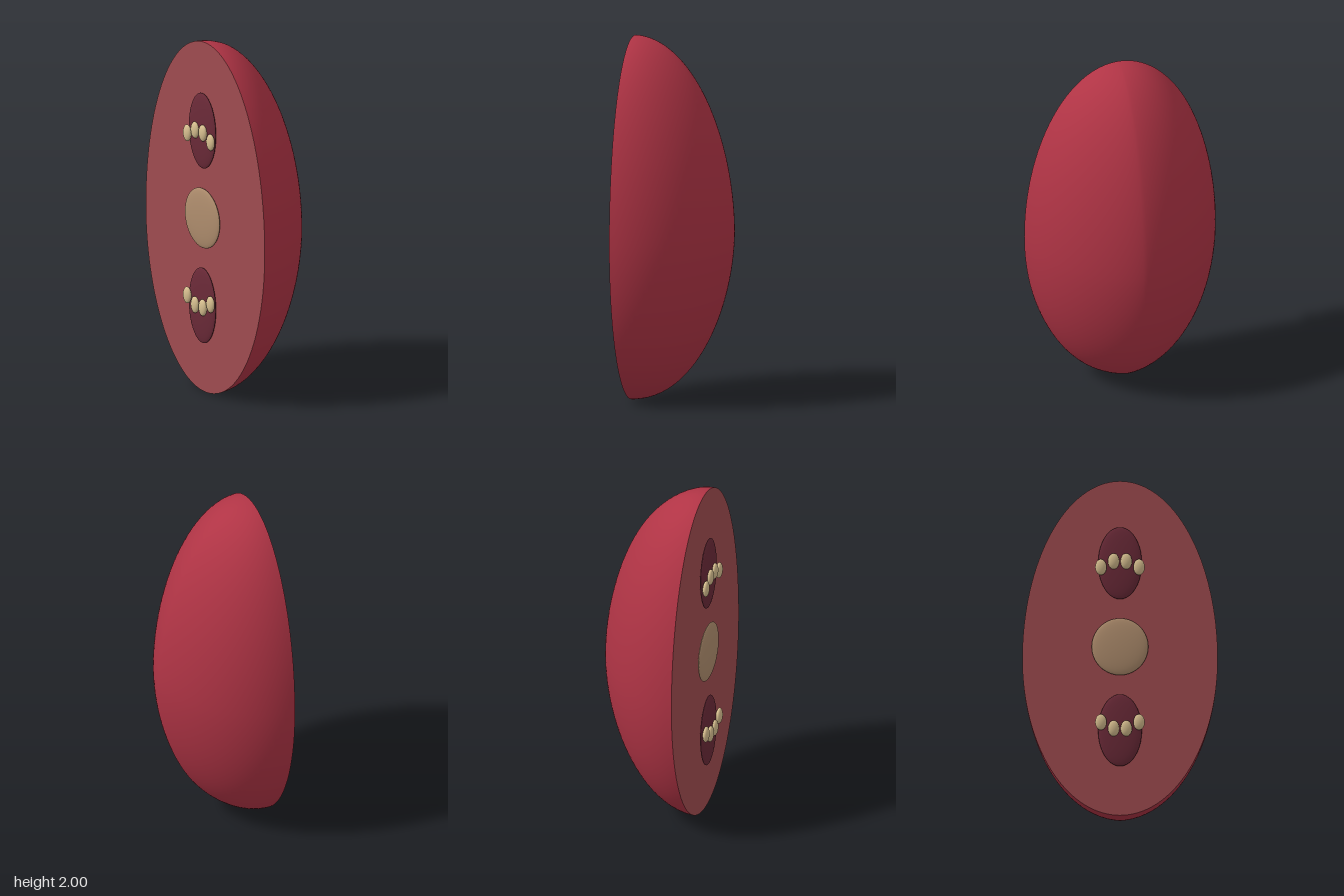
import * as THREE from 'three';

const CUT_X = -0.25, DEPTH = 0.56, HALF_WIDTH = 0.53, WIDEST_Y = 0.935;

function makeMaterial(name, color) {
  const m = new THREE.MeshStandardMaterial({ color });
  m.name = name;
  return m;
}

// Egg height: the widest row sits a little below the middle
const eggY = (v) => WIDEST_Y + v * (v > 0 ? 2 - WIDEST_Y : WIDEST_Y);

// Half egg: hemisphere whose sections narrow towards a rounded ridge
function halfEggGeometry() {
  const geo = new THREE.SphereGeometry(1, 64, 64, Math.PI / 2, Math.PI);
  const p = geo.attributes.position;
  for (let i = 0; i < p.count; i++) {
    const y = THREE.MathUtils.clamp(p.getY(i), -1, 1);
    const r = Math.sqrt(1 - y * y);
    const c = r > 1e-5 ? Math.max(0, p.getX(i) / r) : 0;
    const s = r > 1e-5 ? p.getZ(i) / r : 0;
    const depth = DEPTH * Math.sqrt(Math.max(0, 1 - Math.abs(y) ** 1.85));
    const z = Math.sign(s) * Math.abs(s) ** 1.25 * HALF_WIDTH * r;
    p.setXYZ(i, CUT_X + depth * c, eggY(y), z);
  }
  geo.computeVertexNormals();
  return geo;
}

// Flat cut face, turned towards -x
function cutGeometry() {
  const geo = new THREE.CircleGeometry(1, 128);
  geo.rotateY(-Math.PI / 2);
  const p = geo.attributes.position;
  for (let i = 0; i < p.count; i++) {
    p.setXYZ(i, CUT_X, eggY(p.getY(i)), p.getZ(i) * HALF_WIDTH);
  }
  return geo;
}

export function createModel() {
  const group = new THREE.Group();
  const skin = makeMaterial('skin red', 0xb03445);
  const flesh = makeMaterial('cut flesh', 0xa04c50);
  const dark = makeMaterial('dark hollow', 0x6b2a38);
  const tan = makeMaterial('tan core', 0xb08e6e);
  const cream = makeMaterial('cream seed', 0xd8c090);

  function add(name, geo, mat) {
    const mesh = new THREE.Mesh(geo, mat);
    mesh.name = name;
    group.add(mesh);
    return mesh;
  }
  function ellipsoid(name, mat, pos, radii) {
    const mesh = add(name, new THREE.SphereGeometry(1, 32, 20), mat);
    mesh.position.set(...pos);
    mesh.scale.set(...radii);
  }

  add('halfShell', halfEggGeometry(), skin);
  add('cutFace', cutGeometry(), flesh);

  // Core disc between two dark hollows
  ellipsoid('coreDisc', tan, [-0.269, 1, 0], [0.02, 0.17, 0.154]);
  const hollows = [
    { name: 'upper', y: 1.5, bend: -0.035 },
    { name: 'lower', y: 0.5, bend: 0.037 },
  ];
  for (const { name, y, bend } of hollows) {
    ellipsoid(name + 'Hollow', dark, [-0.269, y, 0], [0.02, 0.215, 0.119]);
    // Curved row of four seeds
    for (let i = 0; i < 4; i++) {
      const outer = i === 0 || i === 3;
      ellipsoid(name + 'Seed' + (i + 1), cream,
        [-0.294, y + (outer ? bend : 0), (i - 1.5) * 0.069], [0.017, 0.047, 0.031]);
    }
  }
  return group;
}
